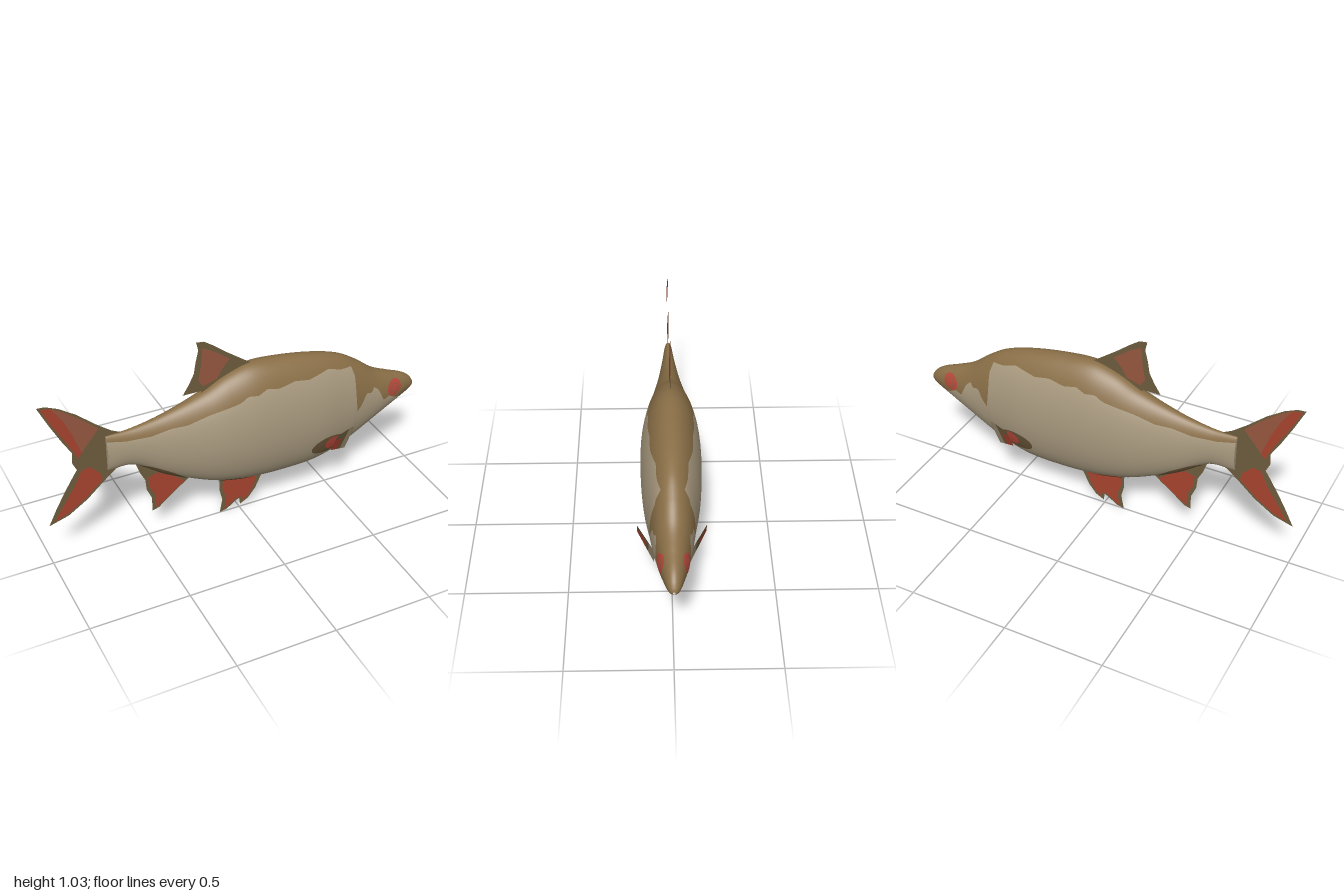
import * as THREE from 'three';

const mat = (name, color, side = THREE.FrontSide) => {
  const m = new THREE.MeshStandardMaterial({ color, side });
  m.name = name;
  return m;
};

// Body outline stations: x, top y, bottom y, half width
const STATIONS = [
  [-0.69, 0.655, 0.46, 0.024], [-0.56, 0.66, 0.455, 0.04], [-0.4, 0.69, 0.35, 0.068],
  [-0.2, 0.755, 0.25, 0.107], [-0.08, 0.815, 0.212, 0.128], [0.05, 0.853, 0.19, 0.143],
  [0.2, 0.847, 0.181, 0.146], [0.4, 0.815, 0.186, 0.135], [0.55, 0.77, 0.225, 0.113],
  [0.65, 0.71, 0.275, 0.099], [0.75, 0.635, 0.333, 0.083], [0.85, 0.59, 0.387, 0.064],
  [0.93, 0.558, 0.427, 0.044], [0.975, 0.527, 0.451, 0.029], [0.995, 0.5, 0.468, 0.015],
  [1.0, 0.487, 0.474, 0.006],
];
// Lower edge of the dark back: x, y
const BACK_EDGE = [
  [-0.69, 0.63], [-0.6, 0.615], [-0.48, 0.615], [-0.38, 0.635], [-0.3, 0.64], [-0.2, 0.67],
  [-0.12, 0.69], [-0.04, 0.71], [0, 0.735], [0.05, 0.73], [0.1, 0.752], [0.16, 0.738],
  [0.25, 0.75], [0.33, 0.735], [0.45, 0.75], [0.52, 0.725], [0.6, 0.715], [0.615, 0.47],
  [0.64, 0.5], [0.67, 0.555], [0.705, 0.545], [0.72, 0.57], [0.75, 0.545], [0.785, 0.47],
  [0.82, 0.485], [0.87, 0.455], [0.92, 0.445], [0.97, 0.462], [1, 0.474],
];

function segment(table, x) {
  let i = 0;
  while (i < table.length - 2 && x > table[i + 1][0]) i++;
  return i;
}
function linear(table, x) {
  const i = segment(table, x), [x0, y0] = table[i], [x1, y1] = table[i + 1];
  return y0 + (y1 - y0) * (x - x0) / (x1 - x0);
}
// Smooth interpolation of one column through the stations
function smooth(x, k) {
  const T = STATIONS, i = segment(T, x), d = T[i + 1][0] - T[i][0], u = (x - T[i][0]) / d;
  const slope = (n) => {
    const a = T[Math.max(n - 1, 0)], b = T[Math.min(n + 1, T.length - 1)];
    return (b[k] - a[k]) / (b[0] - a[0]);
  };
  const u2 = u * u, u3 = u2 * u;
  return (2 * u3 - 3 * u2 + 1) * T[i][k] + (u3 - 2 * u2 + u) * d * slope(i)
    + (3 * u2 - 2 * u3) * T[i + 1][k] + (u3 - u2) * d * slope(i + 1);
}
const section = (x) => {
  const top = smooth(x, 1), bottom = smooth(x, 2);
  return { c: (top + bottom) / 2, h: (top - bottom) / 2, w: smooth(x, 3) };
};
function point(x, t, s) {
  const { c, h, w } = section(x);
  return new THREE.Vector3(x, c + h * Math.cos(t), s * w * Math.sin(t));
}

// A piece of body surface on one side, between two heights given as functions of x
function skin(x0, x1, yTop, yBottom, s, lift = 0, nx = 28, nt = 10) {
  const pos = [], nor = [], idx = [];
  for (let i = 0; i <= nx; i++) {
    const x = (x0 + x1) / 2 - (x1 - x0) / 2 * Math.cos(Math.PI * i / nx);
    const { c, h } = section(x);
    const angle = (y) => Math.acos(THREE.MathUtils.clamp((y - c) / h, -1, 1));
    const a = angle(yTop(x)), b = angle(yBottom(x));
    for (let j = 0; j <= nt; j++) {
      const t = a + (b - a) * j / nt, e = 0.002;
      const dx = point(Math.min(x + e, 1), t, s).sub(point(Math.max(x - e, -0.69), t, s));
      const dt = point(x, t + e, s).sub(point(x, t - e, s));
      const n = dt.cross(dx).multiplyScalar(s).normalize();
      const p = point(x, t, s).addScaledVector(n, lift);
      pos.push(p.x, p.y, p.z);
      nor.push(n.x, n.y, n.z);
      if (i < nx && j < nt) {
        const k = i * (nt + 1) + j, l = k + nt + 1;
        if (s > 0) idx.push(k, k + 1, l, l, k + 1, l + 1);
        else idx.push(k, l, k + 1, l, l + 1, k + 1);
      }
    }
  }
  const g = new THREE.BufferGeometry();
  g.setAttribute('position', new THREE.Float32BufferAttribute(pos, 3));
  g.setAttribute('normal', new THREE.Float32BufferAttribute(nor, 3));
  g.setIndex(idx);
  return g;
}

export function createModel() {
  const fish = new THREE.Group();
  fish.name = 'fish';
  const beige = mat('beige flank', 0xaa9b80);
  const brown = mat('brown back', 0x8a6f47);
  const patch = mat('dark olive patch', 0x6a5638);
  const eyeRed = mat('eye red', 0xb8493a);
  const eyeRing = mat('eye ring', 0x9c5440);
  const olive = mat('olive fin', 0x6e5d3e, THREE.DoubleSide);
  const red = mat('red fin', 0xa8432f, THREE.DoubleSide);
  const rose = mat('rose fin', 0x96583f, THREE.DoubleSide);
  const paleFin = mat('pale fin', 0x9c8c70, THREE.DoubleSide);

  const add = (name, geometry, material, parent = fish) => {
    const m = new THREE.Mesh(geometry, material);
    m.name = name;
    parent.add(m);
    return m;
  };
  const edge = (x) => linear(BACK_EDGE, x);

  for (const [s, side] of [[1, 'left'], [-1, 'right']]) {
    // Body
    add(side + 'Back', skin(-0.69, 1, () => 9, edge, s, 0, 180, 12), brown);
    add(side + 'Flank', skin(-0.69, 1, edge, () => -9, s, 0, 180, 18), beige);

    // Dark skin under the belly fins and chin: x0, x1, height above the belly
    for (const [name, x0, x1, rise] of [['pelvicPatch', -0.2, 0.13, 0.035],
      ['analPatch', -0.55, -0.27, 0.04], ['chinPatch', 0.8, 0.985, 0.004]]) {
      const top = (x) => smooth(x, 2) + rise * Math.sin(Math.PI * (x - x0) / (x1 - x0));
      add(side + name, skin(x0, x1, top, () => -9, s, 0.003), patch);
    }

    // Round markings: pectoral shadow and eye
    const disc = (name, cx, cy, rx, ry, lift, m) => {
      const half = (x) => ry * Math.sqrt(Math.max(0, 1 - ((x - cx) / rx) ** 2));
      add(side + name, skin(cx - rx, cx + rx, (x) => cy + half(x), (x) => cy - half(x), s, lift, 20, 6), m);
    };
    disc('PectoralPatch', 0.45, 0.32, 0.1, 0.055, 0.003, patch);
    disc('PectoralBlush', 0.475, 0.325, 0.045, 0.04, 0.005, eyeRed);
    disc('Eye', 0.853, 0.52, 0.045, 0.043, 0.003, eyeRed);
    disc('EyeRing', 0.853, 0.517, 0.029, 0.027, 0.005, eyeRing);
    disc('Pupil', 0.853, 0.52, 0.018, 0.017, 0.007, eyeRed);

    // Pectoral fin: a slanted quad cut into coloured strips
    const fin = new THREE.Group();
    fin.name = side + 'PectoralFin';
    fish.add(fin);
    const V = (x, y, z) => new THREE.Vector3(x, y, z * s);
    const low = [V(0.56, 0.25, 0.085), V(0.43, 0.325, 0.163)];
    const high = [V(0.62, 0.37, 0.082), V(0.47, 0.4, 0.163)];
    const at = (u, v) => low[0].clone().lerp(low[1], u).lerp(high[0].clone().lerp(high[1], u), v);
    const strip = (name, u0, u1, v0, v1, m) => {
      const [a, b, c, d] = [at(u0, v0), at(u1, v0), at(u1, v1), at(u0, v1)];
      const g = new THREE.BufferGeometry().setFromPoints([a, b, c, a, c, d]);
      g.computeVertexNormals();
      add(name, g, m, fin);
    };
    strip('finRoot', 0, 0.35, 0, 1, paleFin);
    strip('finMiddle', 0.35, 0.55, 0, 1, olive);
    strip('finTip', 0.55, 1, 0, 0.65, red);
    strip('finRim', 0.55, 1, 0.65, 1, olive);
  }

  // Flat end of the tail root
  const end = section(-0.69);
  const cap = add('tailRoot', new THREE.CircleGeometry(1, 32), beige);
  cap.scale.set(end.w, end.h, 1);
  cap.rotation.y = -Math.PI / 2;
  cap.position.set(-0.69, end.c, 0);

  // Flat fins on the middle plane, with coloured panels on both faces
  const flat = (pts) => new THREE.ShapeGeometry(new THREE.Shape(pts.map(([x, y]) => new THREE.Vector2(x, y))));
  const makeFin = (name, outline, panels) => {
    const fin = new THREE.Group();
    fin.name = name;
    fish.add(fin);
    add('membrane', flat(outline), olive, fin);
    for (const [pts, m] of panels)
      for (const z of [-0.003, 0.003]) add('panel', flat(pts), m, fin).position.z = z;
  };

  makeFin('tailFin', [[-1, 0.9], [-0.96, 0.897], [-0.9, 0.87], [-0.82, 0.815], [-0.73, 0.735], [-0.66, 0.68],
    [-0.6, 0.65], [-0.6, 0.47], [-0.65, 0.455], [-0.71, 0.405], [-0.8, 0.325], [-0.9, 0.26], [-1, 0.23],
    [-0.96, 0.31], [-0.91, 0.4], [-0.86, 0.48], [-0.84, 0.51], [-0.86, 0.555], [-0.855, 0.61], [-0.9, 0.69],
    [-0.95, 0.79]],
  [
    [[[-0.985, 0.89], [-0.94, 0.885], [-0.89, 0.81], [-0.85, 0.72], [-0.81, 0.6], [-0.83, 0.575],
      [-0.85, 0.62], [-0.89, 0.7], [-0.94, 0.79]], red],
    [[[-0.94, 0.885], [-0.88, 0.85], [-0.8, 0.785], [-0.72, 0.71], [-0.77, 0.65], [-0.81, 0.6],
      [-0.85, 0.72], [-0.89, 0.81]], rose],
    [[[-0.97, 0.25], [-0.9, 0.275], [-0.81, 0.335], [-0.72, 0.415], [-0.73, 0.46], [-0.78, 0.51],
      [-0.82, 0.5], [-0.86, 0.42], [-0.92, 0.33]], red],
  ]);

  makeFin('dorsalFin', [[0.08, 0.84], [0.03, 0.875], [-0.06, 0.94], [-0.13, 0.995], [-0.18, 1.03], [-0.22, 1.035],
    [-0.21, 0.99], [-0.225, 0.93], [-0.235, 0.87], [-0.26, 0.82], [-0.295, 0.765], [-0.2, 0.765],
    [-0.2, 0.72], [0, 0.76]],
  [[[[-0.19, 1.0], [-0.13, 0.965], [-0.05, 0.905], [-0.09, 0.86], [-0.12, 0.81], [-0.19, 0.79],
    [-0.215, 0.83], [-0.2, 0.9]], rose]]);

  makeFin('analFin', [[-0.56, 0.48], [-0.53, 0.39], [-0.505, 0.34], [-0.5, 0.28], [-0.475, 0.22], [-0.475, 0.14],
    [-0.44, 0.15], [-0.38, 0.2], [-0.32, 0.245], [-0.275, 0.28], [-0.3, 0.36], [-0.45, 0.45]],
  [[[[-0.49, 0.35], [-0.485, 0.29], [-0.455, 0.23], [-0.455, 0.155], [-0.39, 0.2], [-0.3, 0.27],
    [-0.36, 0.32], [-0.44, 0.365]], red]]);

  makeFin('pelvicFin', [[-0.11, 0.26], [-0.11, 0.14], [-0.095, 0.08], [-0.11, 0], [-0.07, 0.01], [-0.02, 0.045],
    [0, 0.055], [0.005, 0.015], [0.05, 0.04], [0.09, 0.09], [0.125, 0.165], [0.13, 0.24]],
  [[[[-0.09, 0.22], [-0.095, 0.15], [-0.075, 0.09], [-0.085, 0.015], [-0.02, 0.06], [0.01, 0.065], [0.02, 0.035],
    [0.05, 0.06], [0.08, 0.11], [0.1, 0.18], [0.09, 0.22]], red]]);

  return fish;
}
